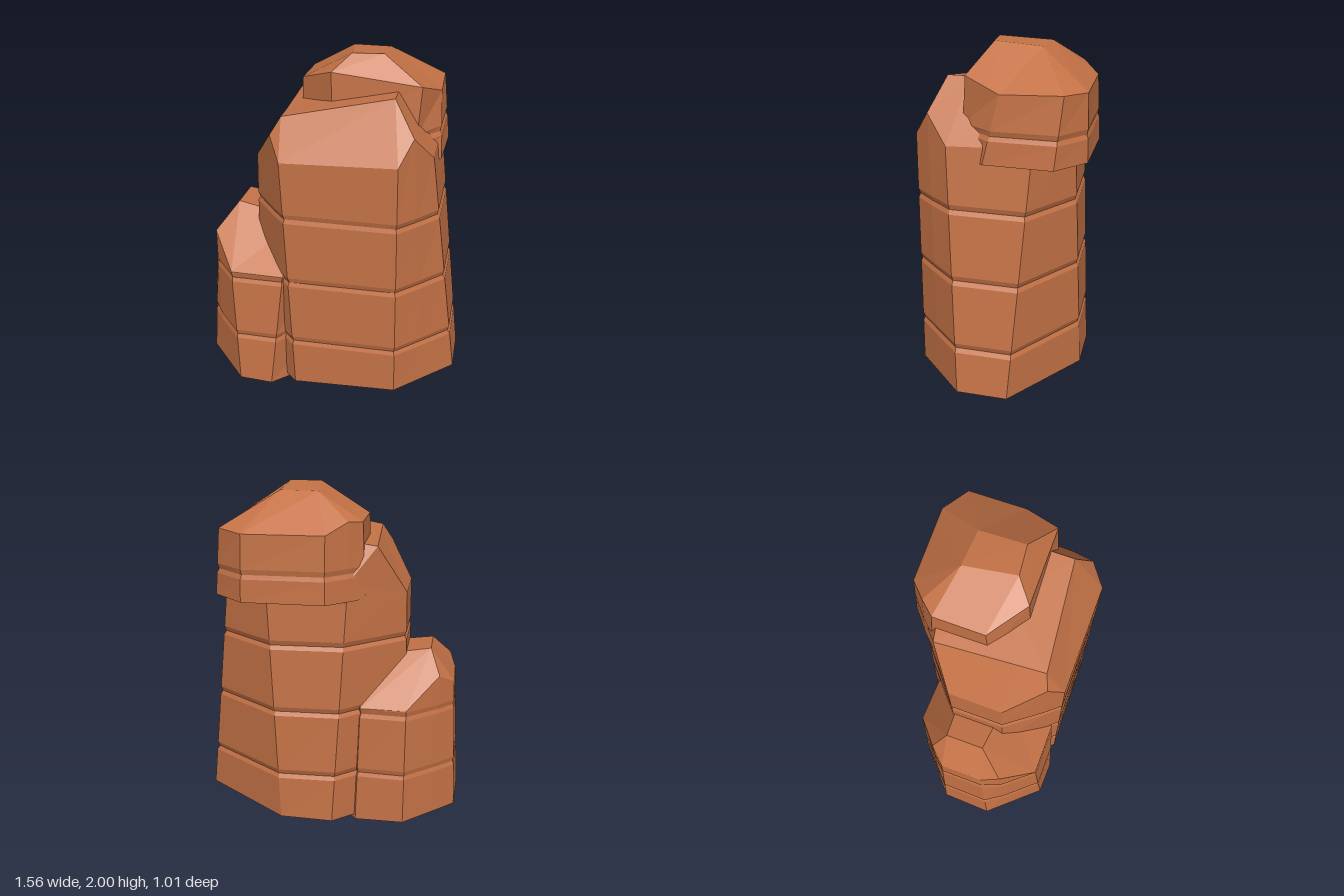
import * as THREE from 'three';

const lerp = THREE.MathUtils.lerp;

// Faceted rock column. Each corner: [base x, z,  rim x, y, z,  crown x, y, z].
// Corners run from +x through the front (+z) and round to the back.
function rock(name, material, corners, baseY, grooves, inset = 0.978) {
  const n = corners.length;
  const mid = (a, b) => corners.reduce((s, c) => [s[0] + c[a] / n, s[1] + c[b] / n], [0, 0]);
  const [bx, bz] = mid(0, 1), [rx, rz] = mid(2, 4);

  // ring at a given height on the wall, optionally pulled toward the axis
  const wall = (y, scale) => corners.map(c => {
    const y0 = baseY(c[0]);
    const t = Math.min((y - y0) / (c[3] - y0), 1);
    const cx = lerp(bx, rx, t), cz = lerp(bz, rz, t);
    return [cx + (lerp(c[0], c[2], t) - cx) * scale, Math.min(y, c[3]), cz + (lerp(c[1], c[4], t) - cz) * scale];
  });

  const rings = [corners.map(c => [c[0], baseY(c[0]), c[1]])];
  for (const y of grooves) rings.push(wall(y - 0.025, 1), wall(y, inset), wall(y + 0.03, 1));
  rings.push(corners.map(c => [c[2], c[3], c[4]]), corners.map(c => [c[5], c[6], c[7]]));

  const pos = [];
  const tri = (...pts) => {
    const [a, b, c] = pts.map(p => new THREE.Vector3(...p));
    if (b.clone().sub(a).cross(c.clone().sub(a)).length() > 1e-7) pos.push(...pts.flat());
  };
  const centre = ring => [0, 1, 2].map(k => ring.reduce((s, p) => s + p[k] / n, 0));
  const last = rings[rings.length - 1];
  const low = centre(rings[0]), high = centre(last);
  for (let i = 0; i < n; i++) {
    const j = (i + 1) % n;
    for (let k = 0; k + 1 < rings.length; k++) {
      const a = rings[k], b = rings[k + 1];
      tri(a[j], a[i], b[i]);
      tri(a[j], b[i], b[j]);
    }
    tri(low, rings[0][i], rings[0][j]);
    tri(high, last[j], last[i]);
  }

  // unshared vertices keep every facet flat
  const geometry = new THREE.BufferGeometry();
  geometry.setAttribute('position', new THREE.Float32BufferAttribute(pos, 3));
  geometry.computeVertexNormals();
  const mesh = new THREE.Mesh(geometry, material);
  mesh.name = name;
  return mesh;
}

export function createModel() {
  const group = new THREE.Group();
  group.name = 'rockFormation';
  const sandstone = new THREE.MeshStandardMaterial({ color: 0xc47246 });
  sandstone.name = 'sandstone';

  // tall main column with a sloping top
  group.add(rock('mainColumn', sandstone, [
    [0.78, 0.155, 0.6, 1.48, 0.24, 0.38, 1.82, 0.16],
    [0.61, 0.32, 0.5, 1.63, 0.375, 0.38, 1.82, 0.29],
    [0.45, 0.475, 0.43, 1.49, 0.47, 0.38, 1.82, 0.29],
    [-0.16, 0.485, -0.23, 1.47, 0.47, -0.24, 1.7, 0.355],
    [-0.27, 0.38, -0.3, 1.6, 0.385, -0.24, 1.7, 0.355],
    [-0.46, 0.2, -0.44, 1.4, 0.18, -0.25, 1.695, 0.18],
    [-0.46, -0.1, -0.44, 1.4, -0.14, -0.28, 1.69, -0.27],
    [-0.05, -0.46, -0.13, 1.5, -0.39, -0.12, 1.72, -0.3],
    [0.26, -0.47, 0.33, 1.5, -0.42, 0.3, 1.8, -0.3],
    [0.78, -0.14, 0.6, 1.5, -0.24, 0.38, 1.82, -0.15],
  ], x => 0.036 + 0.03 * x, [0.325, 0.725, 1.13]));

  // short column leaning against the main one
  group.add(rock('sideColumn', sandstone, [
    [-0.02, 0.2, -0.1, 0.8, 0.2, -0.2, 0.99, 0.15],
    [-0.31, 0.505, -0.235, 0.735, 0.445, -0.2, 0.99, 0.15],
    [-0.51, 0.5, -0.55, 0.738, 0.445, -0.59, 1.055, 0.115],
    [-0.69, 0.3, -0.7, 0.91, 0.26, -0.59, 1.055, 0.115],
    [-0.78, 0.2, -0.735, 0.85, 0.15, -0.59, 1.055, 0.115],
    [-0.77, -0.11, -0.735, 0.85, -0.1, -0.59, 1.055, -0.11],
    [-0.67, -0.2, -0.65, 0.91, -0.19, -0.59, 1.055, -0.11],
    [-0.47, -0.375, -0.47, 0.738, -0.345, -0.59, 1.055, -0.11],
    [-0.18, -0.365, -0.2, 0.735, -0.34, -0.2, 0.99, -0.13],
    [-0.02, -0.18, -0.1, 0.8, -0.18, -0.2, 0.99, -0.13],
  ], x => -0.033 * x, [0.32, 0.7]));

  // overhanging cap boulder
  group.add(rock('capBoulder', sandstone, [
    [0.625, 0.03, 0.6, 1.78, -0.06, 0.28, 2, 0.05],
    [0.48, 0.19, 0.51, 1.85, 0.15, 0.28, 2, 0.05],
    [0.02, 0.19, 0, 1.91, 0.165, 0.1, 2, 0.07],
    [-0.21, 0.03, -0.2, 1.83, 0, 0.1, 2, 0.07],
    [-0.22, -0.32, -0.2, 1.83, -0.3, 0.06, 1.98, -0.23],
    [-0.14, -0.4, -0.13, 1.84, -0.38, 0.06, 1.98, -0.23],
    [-0.02, -0.5, -0.02, 1.78, -0.48, 0.06, 1.98, -0.23],
    [0.45, -0.51, 0.44, 1.78, -0.5, 0.28, 1.98, -0.22],
    [0.635, -0.36, 0.59, 1.79, -0.4, 0.28, 1.98, -0.22],
  ], () => 1.4, [1.555]));

  return group;
}
